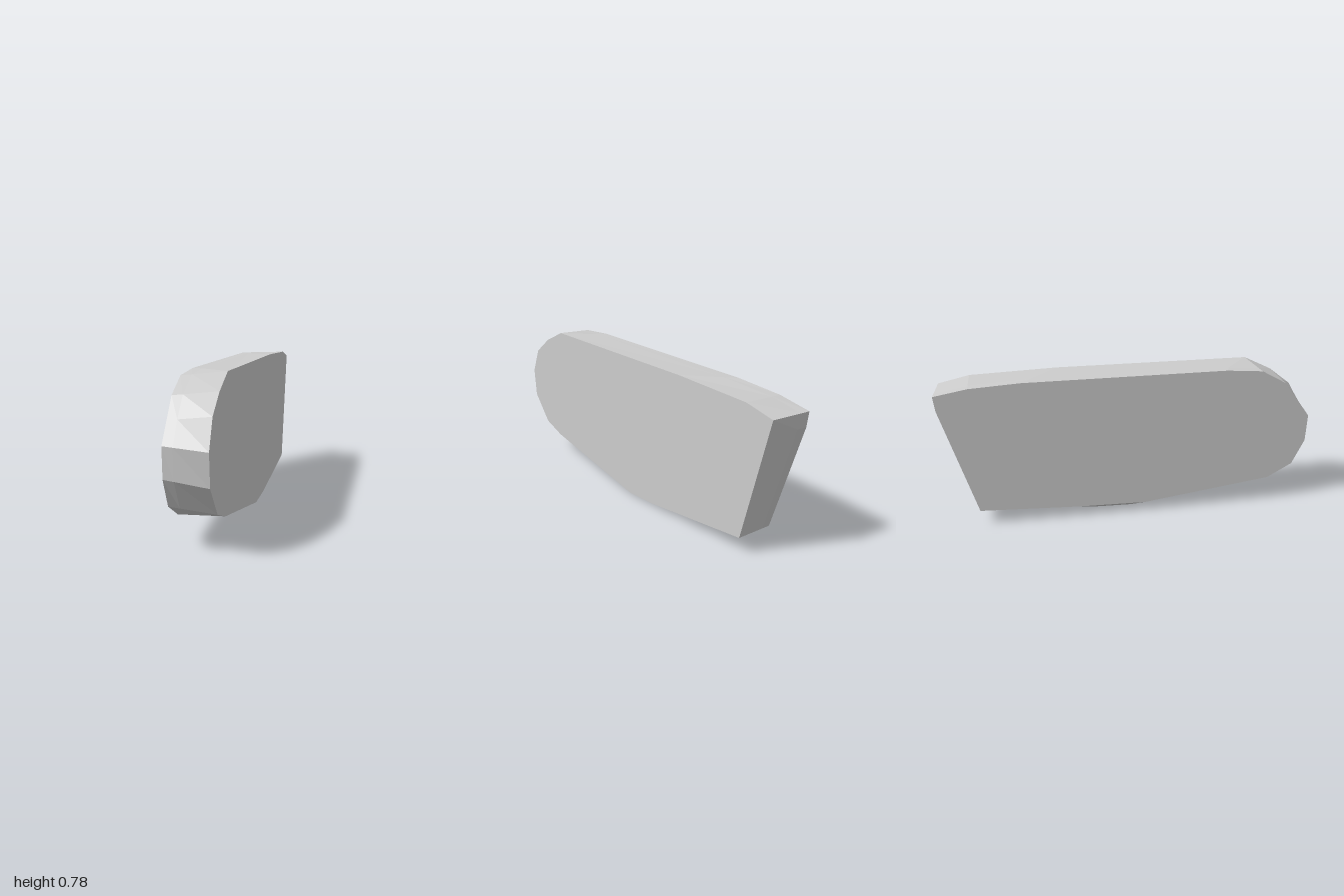
import * as THREE from 'three';

const HALF = 0.105;

// Side outlines as [z, y], from the top rear corner forward, down and back again
const LEFT = [
  [-0.98, 0.727], [-0.82, 0.763], [-0.37, 0.778], [0.6, 0.778], [0.67, 0.778],
  [0.82, 0.706], [0.94, 0.615], [1, 0.476], [0.986, 0.32], [0.865, 0.175],
  [0.725, 0.127], [0.02, 0], [-0.18, 0.01], [-0.82, 0.09], [-0.96, 0.647],
];
const RIGHT = [
  [-1, 0.725], [-0.83, 0.755], [-0.57, 0.77], [0.505, 0.773], [0.7, 0.758],
  [0.833, 0.685], [0.907, 0.588], [0.98, 0.49], [0.973, 0.345], [0.906, 0.21],
  [0.77, 0.136], [0.07, 0.047], [-0.29, 0.055], [-0.815, 0.08], [-0.99, 0.647],
];

// Ring between the sides; the underside bulges before it is chipped away on the right
function middleRing(x) {
  const t = (HALF - x) / (2 * HALF);
  const ring = LEFT.map((p, i) => p.map((v, k) => v + (RIGHT[i][k] - v) * t));
  ring[11] = [0, 0.015];
  ring[12] = [-0.2, 0.02];
  return ring;
}

function slabGeometry() {
  const rings = [[HALF, LEFT], [-0.055, middleRing(-0.055)], [-HALF, RIGHT]];
  const n = LEFT.length;
  const positions = rings.flatMap(([x, ring]) => ring.flatMap(([z, y]) => [x, y, z]));
  const index = [];
  // Rim strips from ring to ring
  for (let r = 0; r < rings.length - 1; r++) {
    for (let i = 0; i < n; i++) {
      const a = r * n + i;
      const b = r * n + (i + 1) % n;
      index.push(a, a + n, b, b, a + n, b + n);
    }
  }
  // Flat side faces
  const last = (rings.length - 1) * n;
  for (let i = 1; i < n - 1; i++) {
    index.push(0, i, i + 1);
    index.push(last, last + i + 1, last + i);
  }
  const geometry = new THREE.BufferGeometry();
  geometry.setAttribute('position', new THREE.Float32BufferAttribute(positions, 3));
  geometry.setIndex(index);
  const flat = geometry.toNonIndexed();
  flat.computeVertexNormals();
  return flat;
}

export function createModel() {
  const grey = new THREE.MeshStandardMaterial({ color: 0xcccccc });
  grey.name = 'light grey';
  const slab = new THREE.Mesh(slabGeometry(), grey);
  slab.name = 'slab';
  const model = new THREE.Group();
  model.name = 'roundedSlab';
  model.add(slab);
  return model;
}
